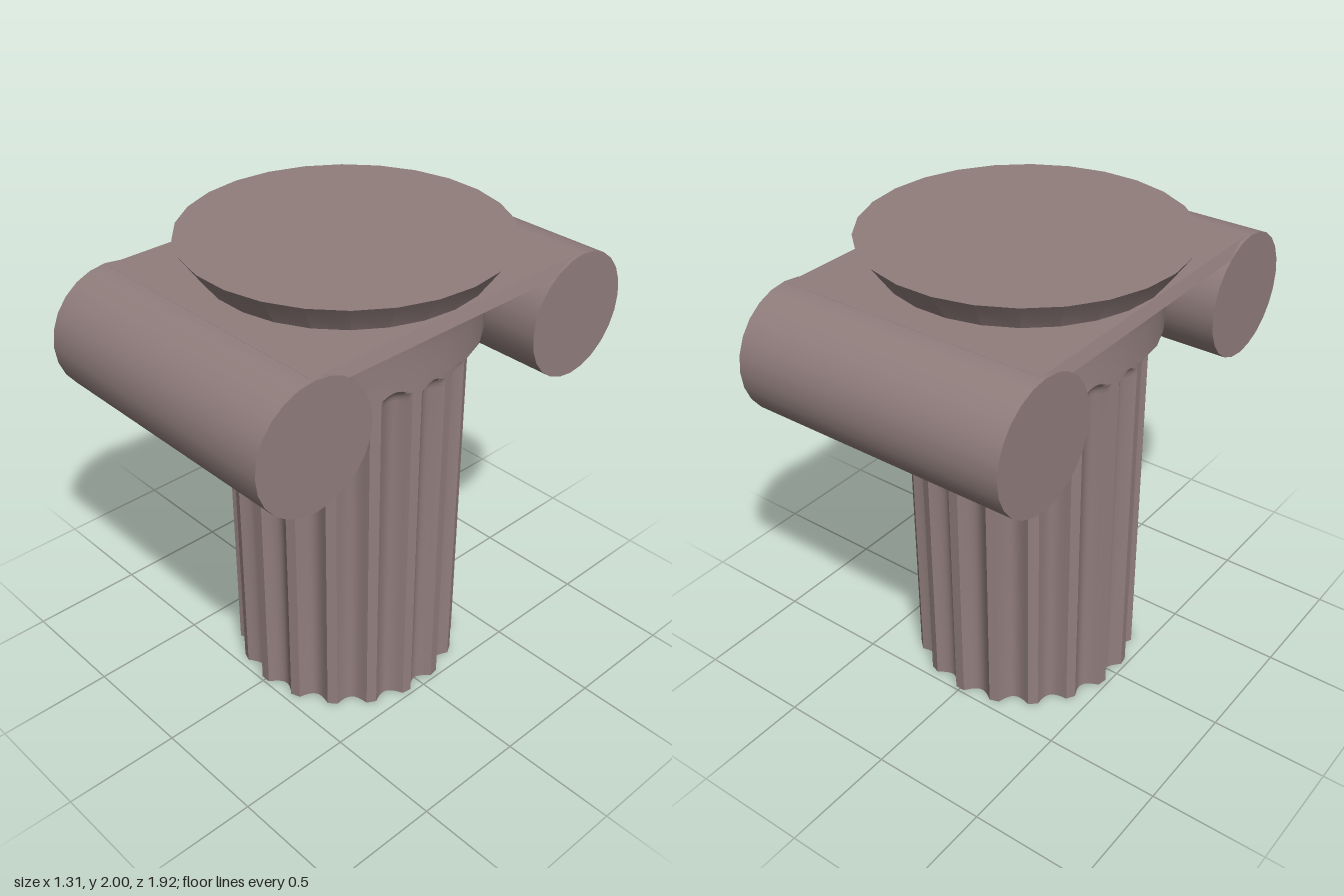
import * as THREE from 'three';
import { toCreasedNormals } from 'three/addons/utils/BufferGeometryUtils.js';

const FLUTES = 18, SHAFT_R = 0.486, FLUTE_DEPTH = 0.045, RIDGE = 0.125; // RIDGE: half width, share of one flute
const FLUTE_STEPS = 8, FLUTE_TOP = 1.49, FLUTE_CAP = 0.065;

// Hollow shaft: rings of ridges and scooped flutes with rounded upper ends
function shaftGeometry() {
  const across = []; // [position within one flute, scoop coordinate -1..1]
  for (let i = 0; i <= FLUTE_STEPS; i++) {
    const u = -1 + (2 * i) / FLUTE_STEPS;
    across.push([0.5 + u * (0.5 - RIDGE), u]);
  }
  const rows = [0, FLUTE_TOP];
  for (let i = 1; i <= 6; i++) rows.push(FLUTE_TOP + FLUTE_CAP * Math.sin((i / 6) * Math.PI / 2));
  rows.push(1.62);

  const pos = [], index = [], n = FLUTES * across.length;
  for (const y of rows) {
    const v = Math.max(0, (y - FLUTE_TOP) / FLUTE_CAP);
    for (let f = 0; f < FLUTES; f++) {
      for (const [p, u] of across) {
        const a = ((f + p) / FLUTES) * Math.PI * 2;
        const r = SHAFT_R - FLUTE_DEPTH * Math.max(0, 1 - u * u - v * v);
        pos.push(r * Math.sin(a), y, r * Math.cos(a));
      }
    }
  }
  for (let j = 0; j < rows.length - 1; j++) {
    for (let i = 0; i < n; i++) {
      const a = j * n + i, b = j * n + ((i + 1) % n);
      index.push(a, b, b + n, a, b + n, a + n);
    }
  }
  const g = new THREE.BufferGeometry();
  g.setAttribute('position', new THREE.Float32BufferAttribute(pos, 3));
  g.setIndex(index);
  return toCreasedNormals(g, 0.5);
}

// Round bell under the slab, flaring out above it to a flat top
function bellGeometry() {
  const profile = [
    [0.44, 1.61], [0.54, 1.61], [0.542, 1.68], [0.546, 1.75],
    [0.553, 1.82], [0.57, 1.88], [0.655, 2.0], [0, 2.0],
  ].map(([r, y]) => new THREE.Vector2(r, y));
  const g = new THREE.LatheGeometry(profile, 26);
  g.rotateY(Math.PI / 2);
  return toCreasedNormals(g, 0.4);
}

// Slab joining the two rolls, its long sides leaning in towards the top
function slabGeometry() {
  const s = new THREE.Shape();
  s.moveTo(-0.595, 1.83);
  s.lineTo(0.595, 1.83);
  s.lineTo(0.578, 1.88);
  s.lineTo(-0.578, 1.88);
  s.closePath();
  const g = new THREE.ExtrudeGeometry(s, { depth: 1.4, bevelEnabled: false });
  g.translate(0, 0, -0.7);
  return g;
}

export function createModel() {
  const group = new THREE.Group();
  const stone = new THREE.MeshStandardMaterial({ color: 0x917e7d, side: THREE.DoubleSide });
  stone.name = 'stone';

  const add = (name, geometry) => {
    const mesh = new THREE.Mesh(geometry, stone);
    mesh.name = name;
    group.add(mesh);
    return mesh;
  };

  add('flutedShaft', shaftGeometry());
  add('capitalBell', bellGeometry());
  add('capitalSlab', slabGeometry());

  // Horizontal rolls at front and back
  for (const [name, side] of [['frontRoll', 1], ['backRoll', -1]]) {
    const roll = add(name, new THREE.CylinderGeometry(0.265, 0.265, 1.19, 24));
    roll.rotation.z = Math.PI / 2;
    roll.position.set(0, 1.615, side * 0.695);
  }
  return group;
}
